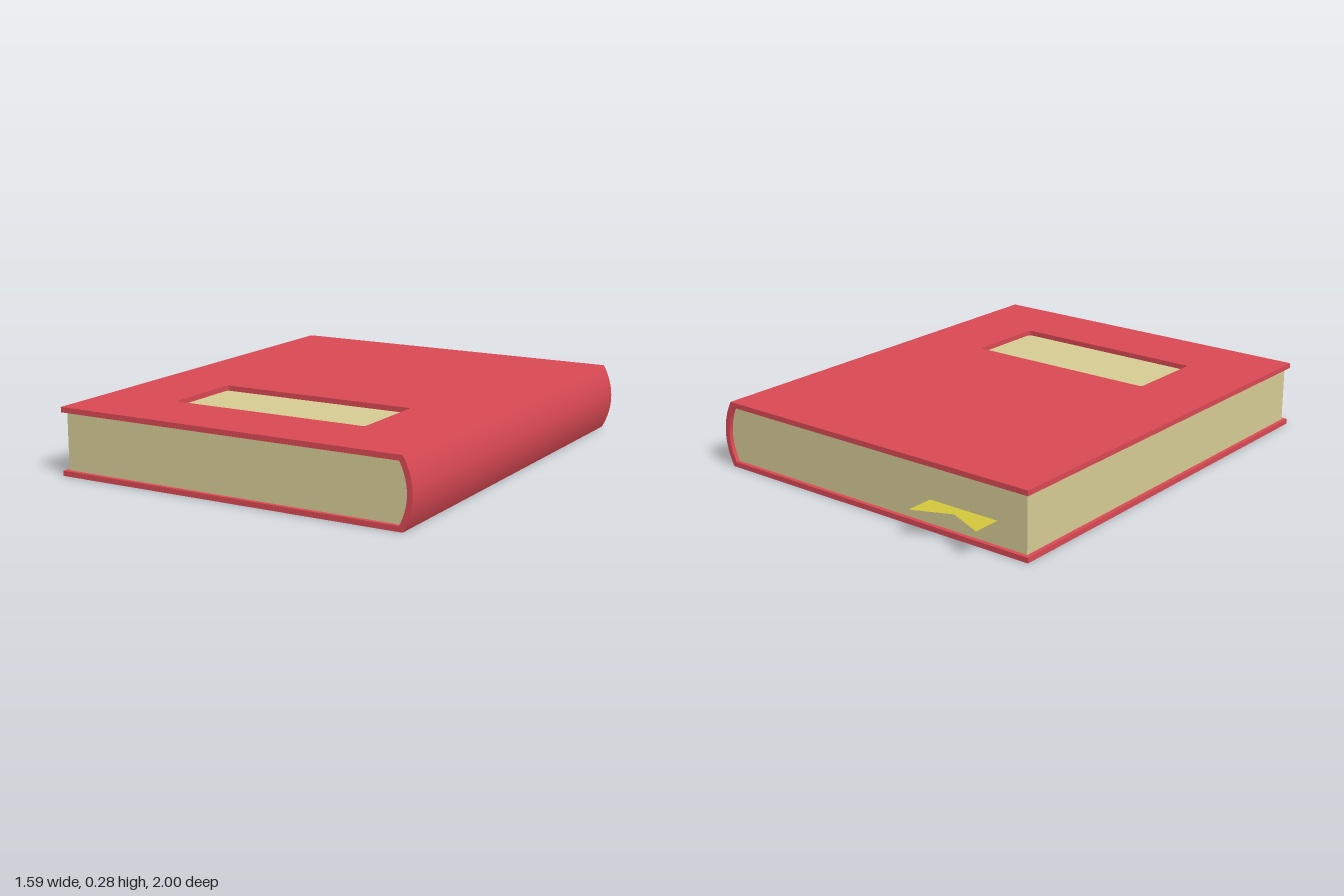
import * as THREE from 'three';
import { toCreasedNormals } from 'three/addons/utils/BufferGeometryUtils.js';

const HEIGHT = 0.284, BOARD = 0.022;      // book height, cover board thickness
const LEFT = -0.795, HINGE = 0.74;        // fore edge, inner start of the spine
const BACK = -0.895, FRONT = 1;           // cover extent in z

const red = new THREE.MeshStandardMaterial({ color: 0xd84853 });
red.name = 'coverRed';
const cream = new THREE.MeshStandardMaterial({ color: 0xd6cb94 });
cream.name = 'pageCream';
const gold = new THREE.MeshStandardMaterial({ color: 0xd4c63c, side: THREE.DoubleSide });
gold.name = 'ribbonGold';

function part(name, geometry, material) {
  const mesh = new THREE.Mesh(geometry, material);
  mesh.name = name;
  return mesh;
}

// Extrude an x-y profile between two z positions, smooth along curves only
function extrudeZ(shape, z0, z1) {
  const g = new THREE.ExtrudeGeometry(shape, { depth: z1 - z0, bevelEnabled: false, curveSegments: 24 });
  return toCreasedNormals(g.translate(0, 0, z0), 0.4);
}

function roundedRect(path, x0, y0, x1, y1, r) {
  path.moveTo(x0 + r, y0);
  path.lineTo(x1 - r, y0);
  path.quadraticCurveTo(x1, y0, x1, y0 + r);
  path.lineTo(x1, y1 - r);
  path.quadraticCurveTo(x1, y1, x1 - r, y1);
  path.lineTo(x0 + r, y1);
  path.quadraticCurveTo(x0, y1, x0, y1 - r);
  path.lineTo(x0, y0 + r);
  path.quadraticCurveTo(x0, y0, x0 + r, y0);
  return path;
}

export function createModel() {
  const book = new THREE.Group();
  book.name = 'book';
  const mid = HEIGHT / 2, top = HEIGHT - BOARD;

  // Back board and rounded spine in one profile
  const binding = new THREE.Shape();
  binding.moveTo(LEFT, 0);
  binding.lineTo(0.755, 0);
  binding.quadraticCurveTo(0.835, mid, 0.755, HEIGHT);
  binding.lineTo(HINGE, HEIGHT);
  binding.lineTo(HINGE, top);
  binding.quadraticCurveTo(0.804, mid, HINGE, BOARD);
  binding.lineTo(LEFT, BOARD);
  binding.closePath();
  book.add(part('spineAndBackBoard', extrudeZ(binding, BACK, FRONT), red));

  // Front board with a cut-out label window (shape y is -z)
  const board = new THREE.Shape();
  board.moveTo(LEFT, -FRONT);
  board.lineTo(HINGE, -FRONT);
  board.lineTo(HINGE, -BACK);
  board.lineTo(LEFT, -BACK);
  board.closePath();
  board.holes.push(roundedRect(new THREE.Path(), -0.46, -0.685, 0.42, -0.322, 0.015));
  const boardGeometry = new THREE.ExtrudeGeometry(board, { depth: BOARD, bevelEnabled: false, curveSegments: 4 });
  boardGeometry.rotateX(-Math.PI / 2).translate(0, top, 0);
  book.add(part('frontBoard', boardGeometry, red));

  // Page block, rounded to fit the spine and set in from the boards
  const pages = new THREE.Shape();
  pages.moveTo(-0.778, BOARD);
  pages.lineTo(HINGE, BOARD);
  pages.quadraticCurveTo(0.804, mid, HINGE, top);
  pages.lineTo(-0.778, top);
  pages.closePath();
  book.add(part('pages', extrudeZ(pages, BACK + 0.018, FRONT - 0.018), cream));

  // Swallow-tailed ribbon bookmark
  const ribbon = new THREE.Shape();
  ribbon.moveTo(-0.64, 0.85);
  ribbon.lineTo(-0.315, 0.85);
  ribbon.lineTo(-0.315, 1);
  ribbon.lineTo(-0.478, 0.93);
  ribbon.lineTo(-0.64, 1);
  ribbon.closePath();
  const ribbonGeometry = new THREE.ShapeGeometry(ribbon).rotateX(-Math.PI / 2).translate(0, 0.12, 0);
  book.add(part('bookmark', ribbonGeometry, gold));

  return book;
}
